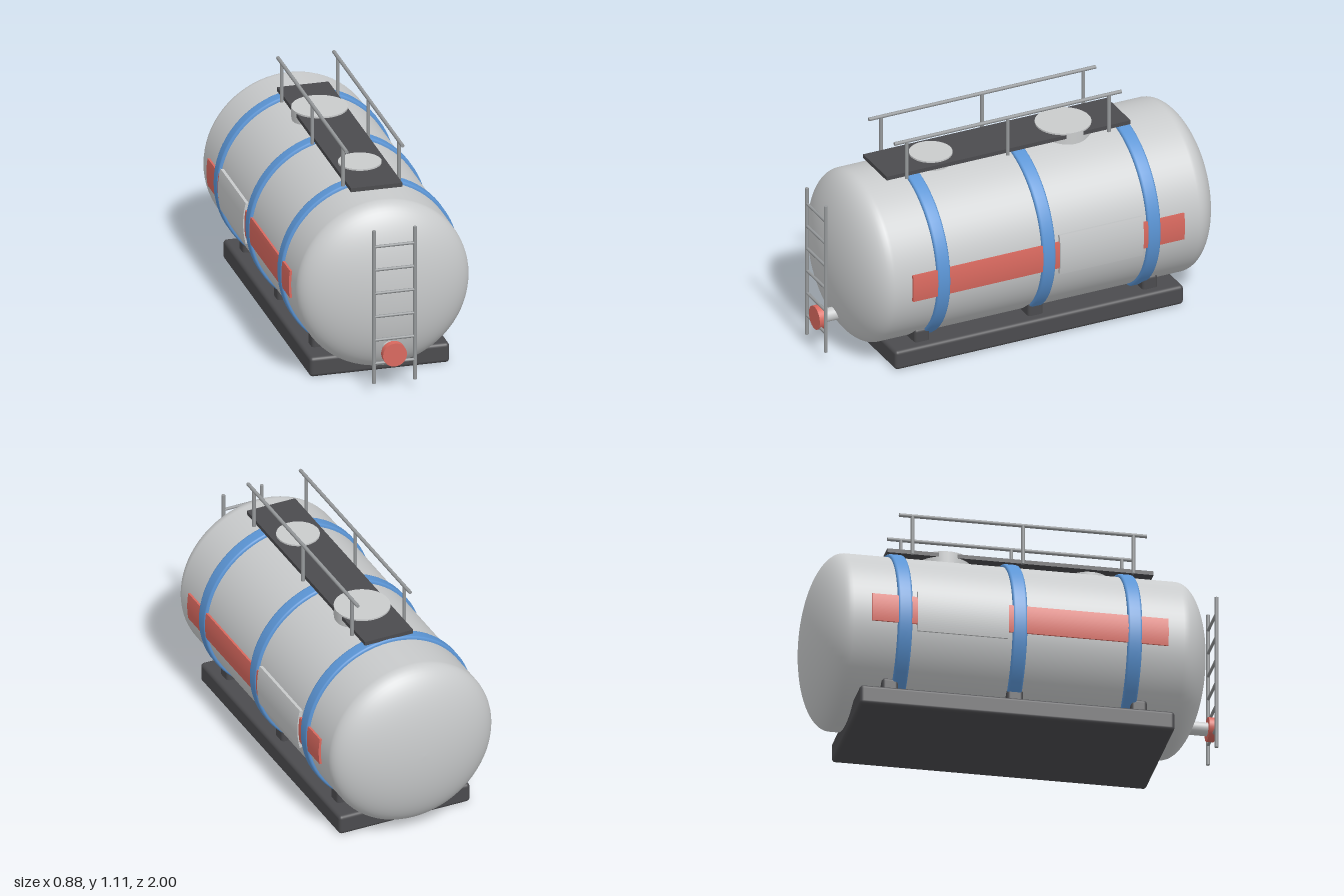
import * as THREE from 'three';
import { RoundedBoxGeometry } from 'three/addons/geometries/RoundedBoxGeometry.js';

const R = 0.425, CY = 0.47, CZ = -0.03; // tank radius and centre

export function createModel() {
  const model = new THREE.Group();
  model.name = 'storageTank';
  const mat = (name, color) => {
    const m = new THREE.MeshStandardMaterial({ color });
    m.name = name;
    return m;
  };
  const shell = mat('light grey', 0xc9cbcc);
  const dark = mat('charcoal', 0x4b4b4e);
  const blue = mat('blue', 0x5b95d5);
  const red = mat('red', 0xd9695f);
  const steel = mat('steel grey', 0x96999b);

  const add = (name, geo, material, x = 0, y = 0, z = 0, parent = model) => {
    const mesh = new THREE.Mesh(geo, material);
    mesh.name = name;
    mesh.position.set(x, y, z);
    parent.add(mesh);
    return mesh;
  };
  const group = (name) => {
    const g = new THREE.Group();
    g.name = name;
    model.add(g);
    return g;
  };
  // Lathe turned about the z axis
  const latheZ = (pts, seg = 72) =>
    new THREE.LatheGeometry(pts.map(([r, z]) => new THREE.Vector2(r, z)), seg).rotateX(Math.PI / 2);
  const rodX = (r, len, seg = 12) => new THREE.CylinderGeometry(r, r, len, seg).rotateZ(Math.PI / 2);
  const rodZ = (r, len, seg = 12) => new THREE.CylinderGeometry(r, r, len, seg).rotateX(Math.PI / 2);

  // Tank: straight barrel with elliptical ends
  const half = 0.8, dome = 0.167, n = 18, profile = [];
  for (let i = 0; i <= n; i++) {
    const a = (i / n) * Math.PI / 2;
    profile.push([R * Math.sin(a), -half - dome * Math.cos(a)]);
  }
  for (let i = n; i >= 0; i--) {
    const a = (i / n) * Math.PI / 2;
    profile.push([R * Math.sin(a), half + dome * Math.cos(a)]);
  }
  add('tankShell', latheZ(profile), shell, 0, CY, CZ);

  // Strap bands with softened edges
  const band = [[0.42, -0.035], [0.432, -0.035], [0.438, -0.031], [0.44, -0.024],
    [0.44, 0.024], [0.438, 0.031], [0.432, 0.035], [0.42, 0.035]];
  for (const z of [0.528, -0.028, -0.584]) add('strapBand', latheZ(band), blue, 0, CY, z);

  // Curved plates that follow the barrel on both sides
  const plate = (name, material, outer, halfHeight, z0, z1) => {
    const a = Math.asin(halfHeight / outer);
    const s = new THREE.Shape();
    s.absarc(0, 0, outer, -a, a, false);
    s.absarc(0, 0, R - 0.008, a, -a, true);
    const geo = new THREE.ExtrudeGeometry(s, { depth: z1 - z0, bevelEnabled: false, curveSegments: 12 });
    for (const turn of [0, Math.PI]) add(name, geo, material, 0, CY, z0).rotation.z = turn;
  };
  plate('sideStripe', red, 0.4365, 0.07, -0.745, 0.69);
  plate('sidePanel', shell, 0.4425, 0.105, -0.525, -0.085);

  // Skid base and saddles
  add('skidBase', new RoundedBoxGeometry(0.69, 0.1, 1.525, 3, 0.018), dark, 0, 0.05, -0.023);
  for (const z of [0.575, -0.025, -0.63])
    add('saddle', new RoundedBoxGeometry(0.6, 0.12, 0.08, 3, 0.016), dark, 0, 0.107, z);

  // Walkway and manholes
  add('walkway', new THREE.BoxGeometry(0.254, 0.02, 1.29), dark, 0, 0.916, 0.035);
  for (const [r, z] of [[0.104, 0.385], [0.135, -0.315]])
    add('manhole', new THREE.CylinderGeometry(r, r, 0.085, 40), shell, 0, 0.8915, z);

  // Handrails
  for (const side of [1, -1]) {
    const rail = group(side > 0 ? 'leftHandrail' : 'rightHandrail');
    add('topRail', rodZ(0.009, 1.2), steel, side * 0.138, 1.1, 0.045, rail);
    for (const z of [0.58, 0.045, -0.49])
      add('railPost', new THREE.CylinderGeometry(0.009, 0.009, 0.2, 12), steel, side * 0.138, 1.0, z, rail);
  }

  // Ladder
  const ladder = group('ladder');
  for (const side of [1, -1])
    add('ladderRail', new THREE.CylinderGeometry(0.009, 0.009, 0.785, 12), steel, side * 0.101, 0.4375, 0.99, ladder);
  for (let i = 0; i < 6; i++)
    add('ladderRung', rodX(0.0075, 0.2), steel, 0, 0.147 + i * 0.12, 0.99, ladder);

  // Outlet pipe and cap
  add('outletPipe', rodZ(0.033, 0.17, 28), shell, 0, 0.183, 0.885);
  add('outletCap', rodZ(0.059, 0.035, 36), red, 0, 0.183, 0.9825);

  return model;
}
